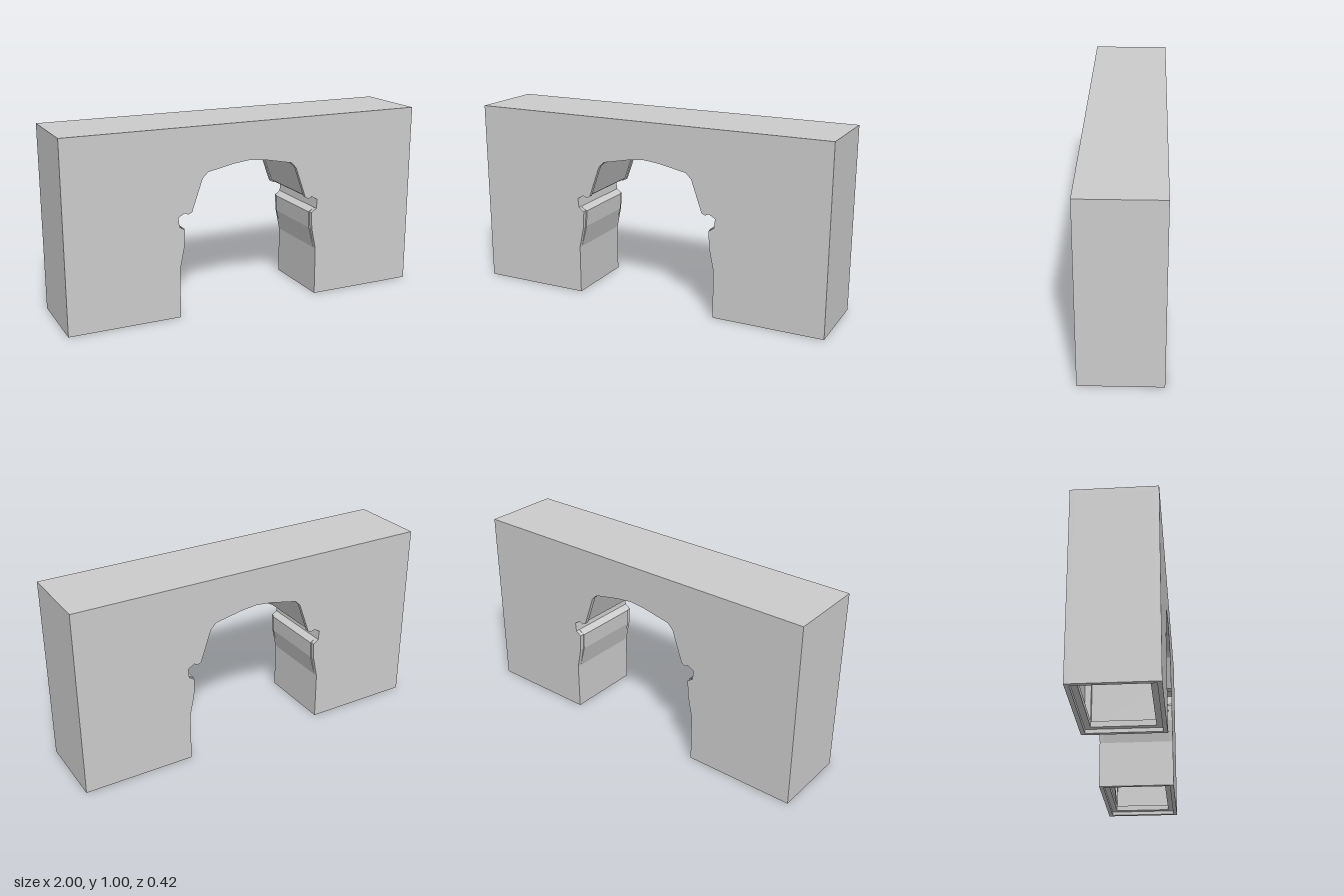
import * as THREE from 'three';

const T = 0.022; // shell thickness
const H = 1, D = 0.42;

// Right half of the opening, from the floor up to the crown
const facing = [[0.4, 0], [0.4, 0.26], [0.375, 0.38], [0.37, 0.47], [0.4, 0.49], [0.405, 0.54],
  [0.37, 0.56], [0.35, 0.55], [0.33, 0.56], [0.27, 0.73], [0.24, 0.76], [0.09, 0.79], [0, 0.8]];
const lining = [[0.4, 0], [0.4, 0.26], [0.368, 0.38], [0.364, 0.47], [0.4, 0.49], [0.405, 0.54],
  [0.374, 0.565], [0.35, 0.556], [0.335, 0.566], [0.276, 0.733], [0.244, 0.765], [0.09, 0.796], [0, 0.805]];

const mirrored = (half) => [...half, ...half.slice(0, -1).reverse().map(([x, y]) => [-x, y])];
const toShape = (pts) => new THREE.Shape(pts.map(([x, y]) => new THREE.Vector2(x, y)));

export function createModel() {
  const group = new THREE.Group();
  const material = new THREE.MeshStandardMaterial({ color: 0xcccccc, flatShading: true, side: THREE.DoubleSide });

  const add = (name, geometry, x = 0, y = 0, z = 0) => {
    const mesh = new THREE.Mesh(geometry, material);
    mesh.name = name;
    mesh.position.set(x, y, z);
    group.add(mesh);
    return mesh;
  };
  const box = (name, w, h, d, x, y, z) => add(name, new THREE.BoxGeometry(w, h, d), x, y, z);
  const extrude = (pts, depth) => new THREE.ExtrudeGeometry(toShape(pts), { depth, bevelEnabled: false });

  // Front and back facings, cut around the opening
  const panel = extrude([...mirrored(facing), [-1, 0], [-1, H], [1, H], [1, 0]], T);
  add('frontPanel', panel, 0, 0, D / 2 - T);
  add('backPanel', panel, 0, 0, -D / 2);

  // Lining of the opening: its profile and a copy pushed into the wall
  const inner = mirrored(lining);
  const outer = inner.map(([x, y], i) => {
    const a = inner[Math.max(i - 1, 0)], b = inner[Math.min(i + 1, inner.length - 1)];
    const dx = b[0] - a[0], dy = b[1] - a[1], l = Math.hypot(dx, dy);
    return [x + dy / l * T, y - dx / l * T];
  });
  add('archLining', extrude([...inner, ...outer.reverse()], D - 2 * T), 0, 0, -D / 2 + T);

  // Top slab and end walls
  const depth = D - 2 * T;
  box('topSlab', 2, T, depth, 0, H - T / 2, 0);
  for (const s of [-1, 1]) {
    box('endWall', T, H - T, depth, s * (1 - T / 2), (H - T) / 2, 0);

    // Timber frame inside each hollow leg, seen through the open base
    const x0 = 0.4 + T, x1 = 1 - T, mid = s * (x0 + x1) / 2, b = 0.03;
    const zIn = depth / 2 - b / 2;
    for (const f of [-1, 1]) {
      box('baseRail', x1 - x0, b, b, mid, 0.02 + b / 2, f * zIn);
      box('baseCrossRail', b, b, depth - 2 * b, s * (f > 0 ? x1 - b / 2 : x0 + b / 2), 0.02 + b / 2, 0);
      box('outerPost', b, H - T - 0.05, b, s * (x1 - b / 2), (H - T + 0.05) / 2, f * zIn);
      box('innerPost', b, 0.4, b, s * (x0 + b / 2), 0.25, f * zIn);

      // Diagonal brace rising from the outer corner toward the opening
      const dx = x1 - x0 - 2 * b, dy = 0.36;
      const brace = box('diagonalBrace', Math.hypot(dx, dy), b, b * 0.8, mid, 0.24, f * zIn);
      brace.rotation.z = -s * Math.atan2(dy, dx);
    }
  }
  return group;
}
